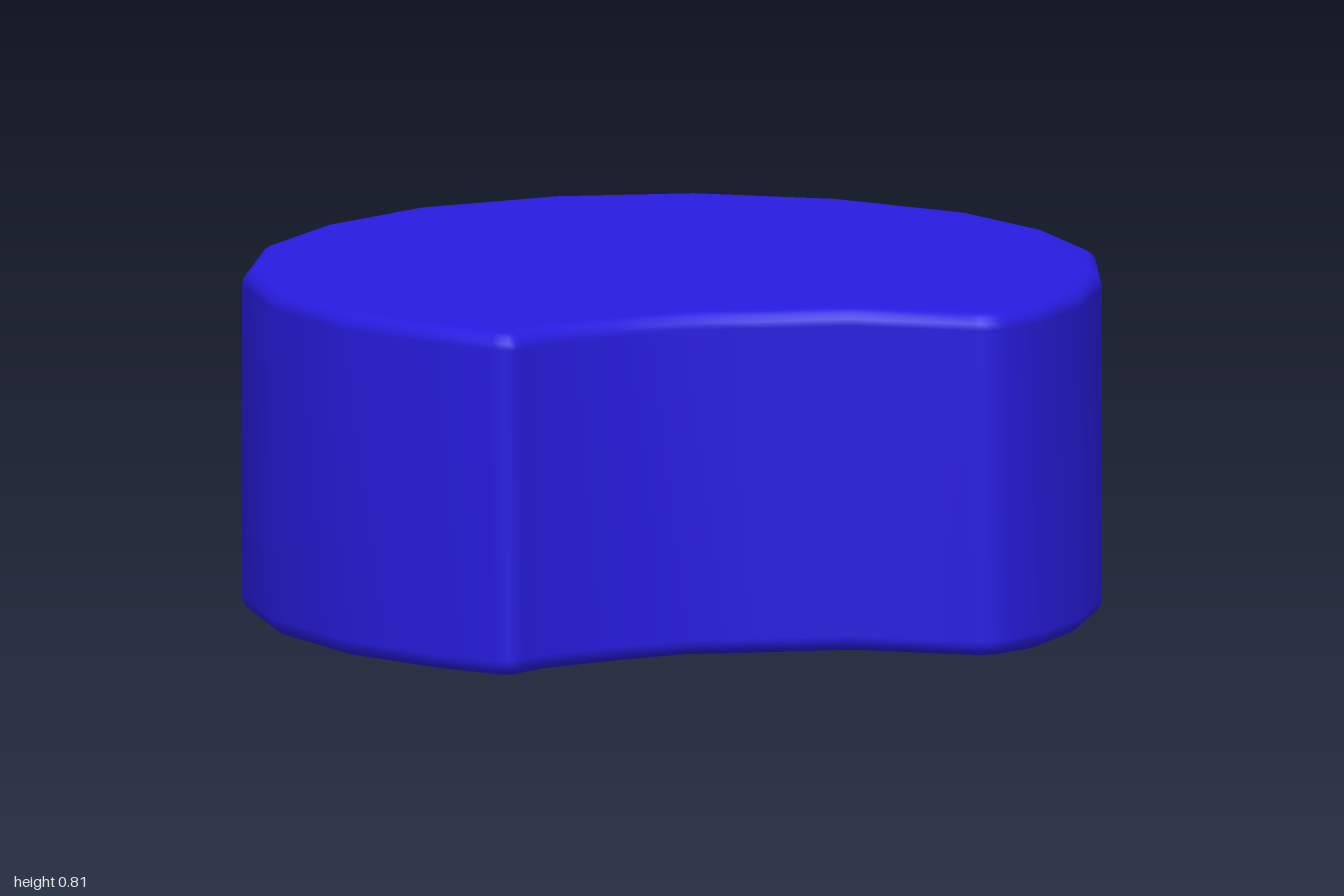
import * as THREE from 'three';
import { mergeVertices } from 'three/addons/utils/BufferGeometryUtils.js';

const HEIGHT = 0.81;
const BEVEL = 0.04;

// Plan outline as [x, z]: the faceted round side, then the shallow bite at the front
const ROUND_SIDE = [
  [-0.79, 0.69], [-0.93, 0.45], [-1, 0.14], [-0.97, -0.19], [-0.83, -0.49],
  [-0.61, -0.72], [-0.33, -0.88], [0.02, -0.93], [0.35, -0.87], [0.65, -0.69],
  [0.88, -0.42], [0.98, -0.14], [1, 0.16], [0.92, 0.45], [0.79, 0.69], [0.64, 0.86],
];
const BITE = [[0.21, 0.76], [0, 0.73], [-0.17, 0.7], [-0.36, 0.735], [-0.53, 0.78]];

function outline() {
  const shape = new THREE.Shape();
  const lineThrough = (points) => points.forEach(([x, z]) => shape.lineTo(x, -z));

  shape.moveTo(-0.685, -0.815);
  lineThrough(ROUND_SIDE);

  // Rounded left horn
  shape.lineTo(0.55, -0.91);
  shape.quadraticCurveTo(0.5, -0.937, 0.45, -0.907);

  lineThrough(BITE);

  // Rounded right horn
  shape.lineTo(-0.61, -0.83);
  shape.quadraticCurveTo(-0.65, -0.855, -0.685, -0.815);
  return shape;
}

export function createModel() {
  const group = new THREE.Group();
  group.name = 'bittenDisc';

  const extruded = new THREE.ExtrudeGeometry(outline(), {
    depth: HEIGHT - 2 * BEVEL,
    bevelEnabled: true,
    bevelSize: BEVEL,
    bevelThickness: BEVEL,
    bevelOffset: -BEVEL,
    bevelSegments: 4,
    curveSegments: 4,
  });
  extruded.rotateX(-Math.PI / 2);
  extruded.translate(0, BEVEL, 0);

  // Share vertices so the sides and rounded rims shade smoothly
  extruded.deleteAttribute('uv');
  extruded.deleteAttribute('normal');
  const geometry = mergeVertices(extruded, 1e-4);
  geometry.computeVertexNormals();

  const body = new THREE.Mesh(geometry, new THREE.MeshStandardMaterial({ color: 0x281ce0 }));
  body.name = 'body';
  group.add(body);
  return group;
}
